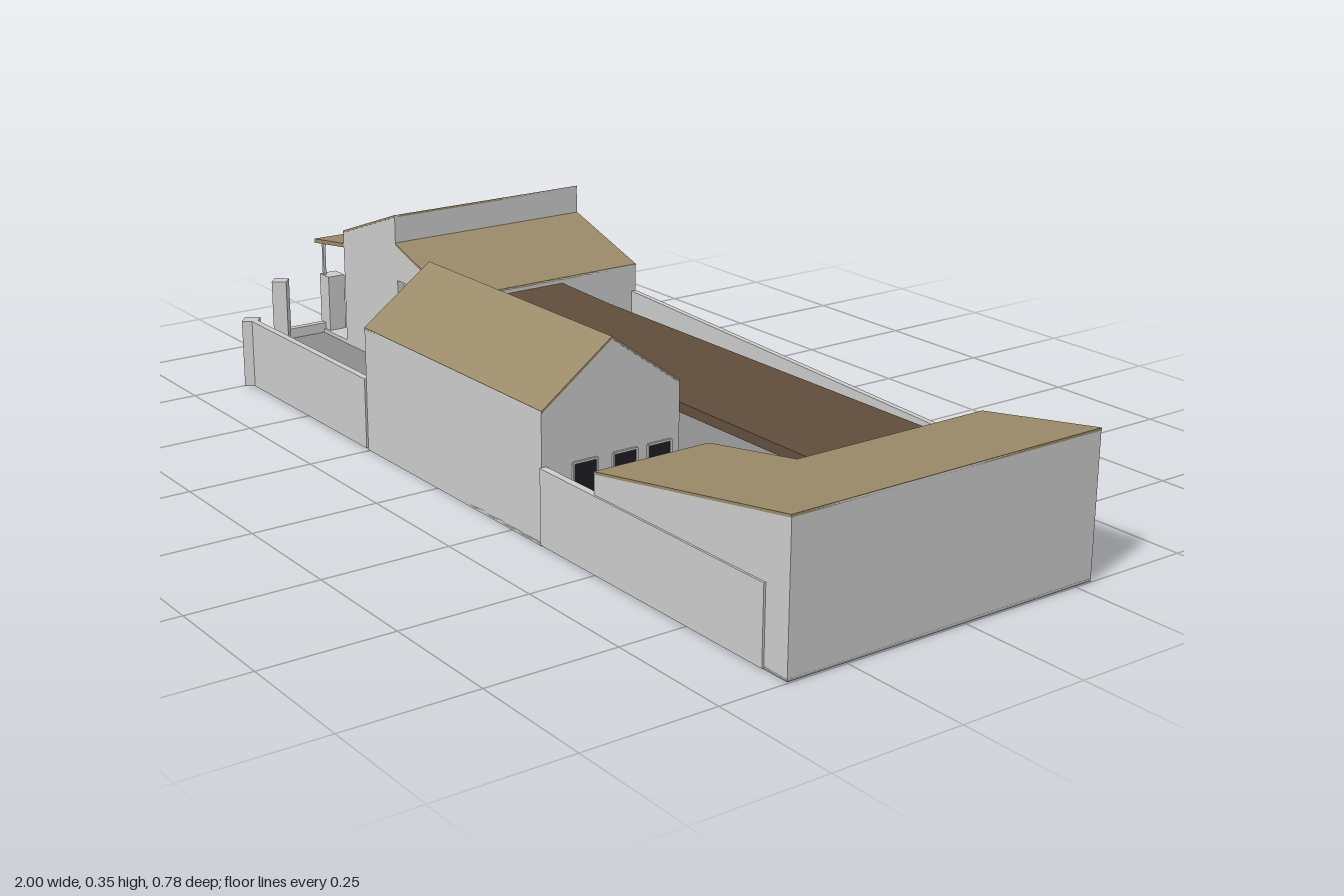
import * as THREE from 'three';

const mat = (color) => new THREE.MeshStandardMaterial({ color, flatShading: true, side: THREE.DoubleSide });
const GREY = mat(0xcccccc), PAVING = mat(0x8d8d8d), ROOF = mat(0x998a68);
const CANOPY = mat(0x604e3d), DARK = mat(0x1c1d24), GLASS = mat(0x8f93b8);

const toShape = (pts) => new THREE.Shape(pts.map(([x, y]) => new THREE.Vector2(x, y)));

export function createModel() {
  const model = new THREE.Group();
  const add = (name, geometry, material = GREY, parent = model) => {
    const mesh = new THREE.Mesh(geometry, material);
    mesh.name = name;
    parent.add(mesh);
    return mesh;
  };
  const group = (name) => {
    const g = new THREE.Group();
    g.name = name;
    model.add(g);
    return g;
  };
  // box from its extents
  const box = (name, x0, x1, y0, y1, z0, z1, material, parent) => {
    const mesh = add(name, new THREE.BoxGeometry(x1 - x0, y1 - y0, z1 - z0), material, parent);
    mesh.position.set((x0 + x1) / 2, (y0 + y1) / 2, (z0 + z1) / 2);
    return mesh;
  };
  // x-y profile pulled along z
  const alongZ = (name, pts, z0, z1, material, parent) => {
    const g = new THREE.ExtrudeGeometry(toShape(pts), { depth: z1 - z0, bevelEnabled: false });
    return add(name, g.translate(0, 0, z0), material, parent);
  };
  // z-y profile pulled along x
  const alongX = (name, pts, x0, x1, material, parent) => {
    const g = new THREE.ExtrudeGeometry(toShape(pts.map(([z, y]) => [-z, y])), { depth: x1 - x0, bevelEnabled: false });
    return add(name, g.rotateY(Math.PI / 2).translate(x0, 0, 0), material, parent);
  };
  // x-z plan raised from y0 to y1
  const plan = (name, pts, y0, y1, material, parent) => {
    const g = new THREE.ExtrudeGeometry(toShape(pts.map(([x, z]) => [x, -z])), { depth: y1 - y0, bevelEnabled: false });
    return add(name, g.rotateX(-Math.PI / 2).translate(0, y0, 0), material, parent);
  };
  // thin sheet between two profile points
  const sheet = ([a, ya], [b, yb], t = 0.004) => [[a, ya - t], [b, yb - t], [b, yb + 0.001], [a, ya + 0.001]];
  // framed window on a wall facing +x or -x
  const sideWindow = (x, dir, z, y0, y1, w, parent) => {
    const f = 0.004;
    for (const s of [-1, 1]) {
      const c = z + s * w / 2;
      box('windowJamb', x - f, x + f, y0, y1, c - 0.002, c + 0.002, GREY, parent);
    }
    box('windowHead', x - f, x + f, y1 - 0.002, y1 + 0.002, z - w / 2, z + w / 2, GREY, parent);
    box('windowPane', x - 0.002, x + 0.002, y0, y1, z - w / 2, z + w / 2, DARK, parent);
  };

  // Ground with a cut corner, and floors set under two buildings
  plan('ground', [[-1, -0.39], [-0.42, -0.39], [0.94, -0.29], [1, -0.285], [1, 0.37], [-0.74, 0.37], [-1, 0.17]], 0.002, 0.008, PAVING);
  box('hallFloor', -0.255, 0.345, 0, 0.01, 0.075, 0.37);
  box('houseFloor', -0.865, -0.42, 0, 0.01, -0.255, 0.075);

  // House with a split roof and a raised upper wall
  const house = group('house');
  const eave = [-1, 0.22], mid = [-0.865, 0.265], peak = [-0.64, 0.345], step = [-0.64, 0.285], low = [-0.42, 0.215];
  alongZ('houseBack', [[-1, 0.005], [-0.42, 0.005], low, step, peak, eave], -0.39, -0.255, GREY, house);
  alongZ('houseBody', [[-0.865, 0.005], [-0.42, 0.005], low, step, peak, mid], -0.255, 0.06, GREY, house);
  alongZ('houseFront', [[-0.865, 0.005], [-0.635, 0.005], [-0.635, 0.205], [-0.53, 0.205], [-0.53, 0.005],
    [-0.42, 0.005], low, step, peak, mid], 0.06, 0.075, GREY, house);
  alongZ('upperRoofBack', sheet(eave, peak), -0.391, -0.255, ROOF, house);
  alongZ('upperRoof', sheet(mid, peak), -0.255, 0.076, ROOF, house);
  alongZ('lowerRoof', sheet(step, low), -0.391, 0.076, ROOF, house);
  for (const z of [-0.35, -0.295]) sideWindow(-0.997, -1, z, 0.11, 0.17, 0.03, house);
  for (const z of [-0.18, -0.05]) sideWindow(-0.865, -1, z, 0.01, 0.17, 0.06, house);

  // Open porch on the outer side
  const porch = group('porch');
  alongZ('porchRoof', sheet([-1, 0.218], [-0.865, 0.236], 0.008), -0.255, 0.075, ROOF, porch);
  box('porchFloor', -0.98, -0.865, 0.005, 0.016, -0.255, 0.075, GREY, porch);
  for (const z of [-0.14, -0.04, 0.065]) box('porchPost', -0.98, -0.974, 0.01, 0.214, z - 0.003, z + 0.003, GREY, porch);
  box('porchGlazing', -0.95, -0.91, 0.03, 0.125, -0.255, -0.252, GLASS, porch);
  box('porchPier', -0.99, -0.95, 0.005, 0.14, 0.03, 0.07, GREY, porch);

  // Gabled hall
  const hall = group('hall');
  const front = [0.37, 0.246], ridge = [0.223, 0.353], back = [0.075, 0.246];
  alongX('hallWalls', [[0.37, 0.005], front, ridge, back, [0.075, 0.005]], -0.255, 0.345, GREY, hall);
  alongX('hallRoofFront', sheet(front, ridge), -0.256, 0.346, ROOF, hall);
  alongX('hallRoofBack', sheet(ridge, back), -0.256, 0.346, ROOF, hall);
  for (const [x, dir] of [[0.345, 1], [-0.255, -1]])
    for (const z of [0.12, 0.195, 0.28]) sideWindow(x, dir, z, 0.06, 0.14, 0.05, hall);

  // L-shaped wing under one sloping roof
  const wing = group('wing');
  const roofY = (x) => 0.185 + (x - 0.5) * 0.172;
  const slope = (x0) => [[x0, 0.005], [1, 0.005], [1, roofY(1)], [x0, roofY(x0)]];
  alongZ('wingMain', slope(0.73), -0.285, 0.13, GREY, wing);
  alongZ('wingArm', slope(0.5), 0.13, 0.37, GREY, wing);
  alongZ('wingMainRoof', sheet([0.73, roofY(0.73)], [1, roofY(1)]), -0.286, 0.13, ROOF, wing);
  alongZ('wingArmRoof', sheet([0.5, roofY(0.5)], [1, roofY(1)]), 0.13, 0.371, ROOF, wing);

  // Flat canopy over the courtyard
  const canopy = group('canopy');
  plan('canopyRoof', [[-0.42, -0.2], [-0.24, -0.19], [0.73, -0.19], [0.73, 0.072], [-0.24, 0.072], [-0.42, 0.056]], 0.185, 0.204, CANOPY, canopy);
  for (const [x, z] of [[0.47, -0.156], [-0.33, 0.02], [-0.28, -0.17]])
    box('canopyPost', x - 0.007, x + 0.007, 0, 0.186, z - 0.007, z + 0.007, GREY, canopy);

  // Boundary walls, gate pillars and curb
  plan('backWall', [[-0.42, -0.392], [0.94, -0.29], [0.94, -0.278], [-0.42, -0.38]], 0.004, 0.157);
  box('frontWallLeft', -0.73, -0.255, 0.004, 0.145, 0.36, 0.374);
  box('frontWallRight', 0.345, 0.945, 0.004, 0.145, 0.36, 0.374);
  for (const [x, z] of [[-0.975, 0.177], [-0.74, 0.368]]) {
    const pillar = box('gatePillar', x - 0.016, x + 0.016, 0.004, 0.145, z - 0.016, z + 0.016);
    pillar.rotation.y = -0.68;
  }
  plan('gateCurb', [[-1, 0.17], [-0.74, 0.37], [-0.73, 0.36], [-0.99, 0.16]], 0.004, 0.014);
  box('sideCurb', -0.985, -0.97, 0.005, 0.03, 0.07, 0.165);

  return model;
}
